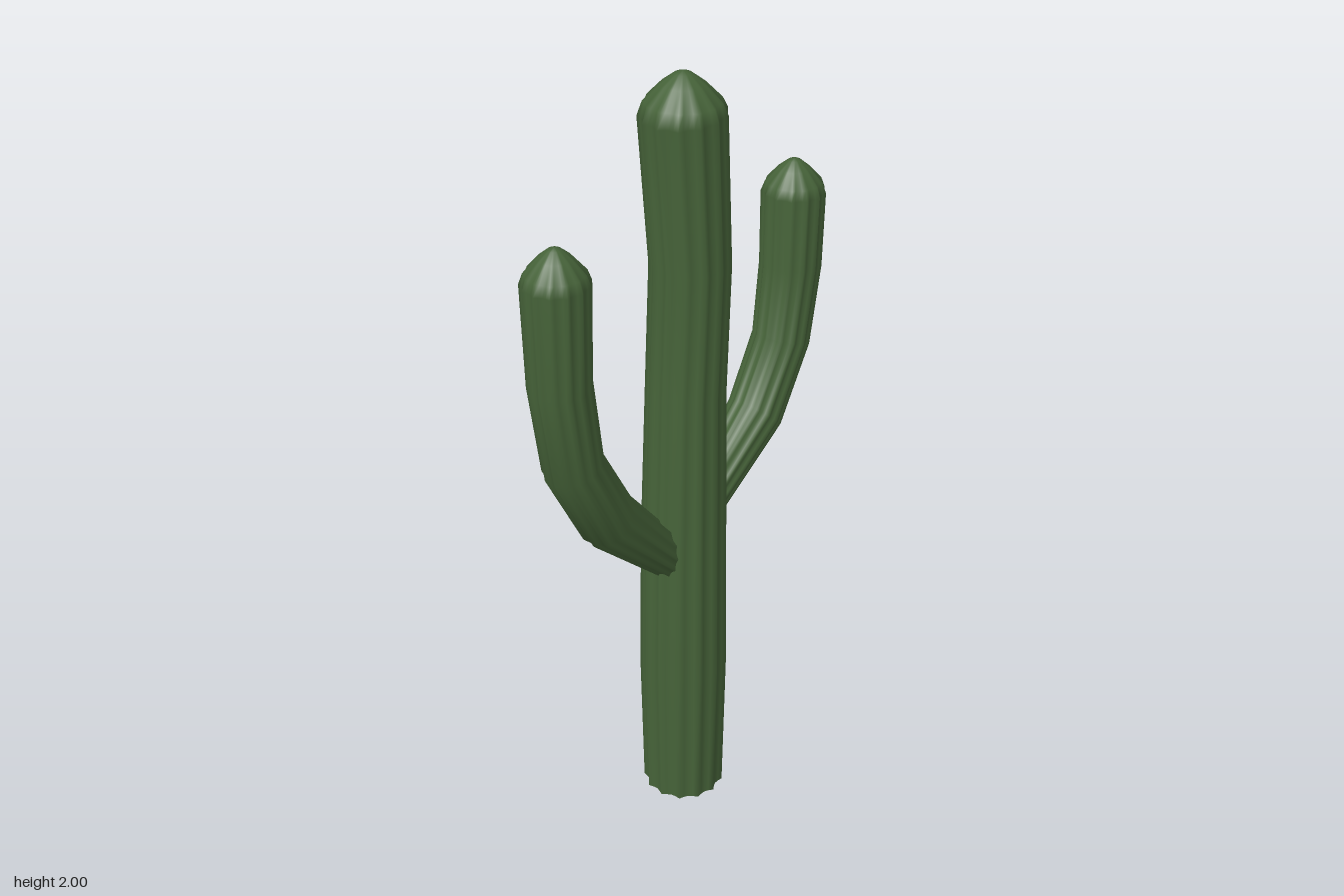
import * as THREE from 'three';

const RIBS = 13;
const STEPS = 4; // points per rib
const N = RIBS * STEPS;

// Ribbed tube through sections [z, y, radius, rib depth]; the last one closes to a point
function ribbedStem(sections) {
  const pos = [], idx = [];
  const last = sections.length - 1;
  const addRing = (i) => {
    const [z, y, r, depth] = sections[i];
    const a = sections[Math.max(i - 1, 0)], b = sections[Math.min(i + 1, last)];
    const len = Math.hypot(b[0] - a[0], b[1] - a[1]);
    const tz = (b[0] - a[0]) / len, ty = (b[1] - a[1]) / len;
    for (let j = 0; j < N; j++) {
      const ang = (j / N) * Math.PI * 2;
      // sharp ridges with rounded grooves between them
      const rr = r * (1 - depth * Math.sin(Math.PI * (j % STEPS) / STEPS));
      const u = Math.cos(ang) * rr, v = Math.sin(ang) * rr;
      pos.push(u, y + v * tz, z - v * ty);
    }
  };
  for (let i = 0; i < last; i++) addRing(i);
  for (let i = 0; i < last - 1; i++) {
    for (let j = 0; j < N; j++) {
      const k = (j + 1) % N, a = i * N, b = a + N;
      idx.push(a + j, a + k, b + k, a + j, b + k, b + j);
    }
  }
  // tip
  const tip = pos.length / 3, ring = (last - 1) * N;
  pos.push(0, sections[last][1], sections[last][0]);
  for (let j = 0; j < N; j++) idx.push(ring + j, ring + (j + 1) % N, tip);
  // flat base with its own vertices, so its edge stays sharp
  const base = pos.length / 3;
  addRing(0);
  pos.push(0, sections[0][1], sections[0][0]);
  for (let j = 0; j < N; j++) idx.push(base + (j + 1) % N, base + j, base + N);

  const geo = new THREE.BufferGeometry();
  geo.setAttribute('position', new THREE.Float32BufferAttribute(pos, 3));
  geo.setIndex(idx);
  geo.computeVertexNormals();
  return geo;
}

// Rounded end above a stem
const dome = (z, y, r, h) => [
  [z, y, r, 0.1],
  [z, y + h * 0.3, r * 0.88, 0.06],
  [z, y + h * 0.7, r * 0.5, 0.03],
  [z, y + h * 0.93, r * 0.2, 0],
  [z, y + h, 0, 0],
];

export function createModel() {
  const group = new THREE.Group();
  const green = new THREE.MeshStandardMaterial({ color: 0x466339 });
  green.name = 'cactus green';

  const parts = {
    trunk: [
      [-0.002, 0, 0.106, 0.1],
      [-0.002, 0.4, 0.113, 0.1],
      [-0.004, 0.8, 0.108, 0.1],
      [-0.011, 1.2, 0.099, 0.1],
      [-0.027, 1.53, 0.098, 0.1],
      ...dome(0, 1.9, 0.103, 0.1),
    ],
    frontArm: [
      [0.045, 0.735, 0.054, 0.1],
      [0.275, 0.97, 0.076, 0.1],
      [0.385, 1.17, 0.074, 0.1],
      [0.417, 1.39, 0.075, 0.1],
      ...dome(0.418, 1.64, 0.08, 0.087),
    ],
    backArm: [
      [-0.05, 0.825, 0.054, 0.1],
      [-0.28, 1.017, 0.073, 0.1],
      [-0.38, 1.193, 0.074, 0.1],
      [-0.41, 1.39, 0.078, 0.1],
      ...dome(-0.413, 1.58, 0.08, 0.085),
    ],
  };

  for (const [name, sections] of Object.entries(parts)) {
    const mesh = new THREE.Mesh(ribbedStem(sections), green);
    mesh.name = name;
    group.add(mesh);
  }
  return group;
}
